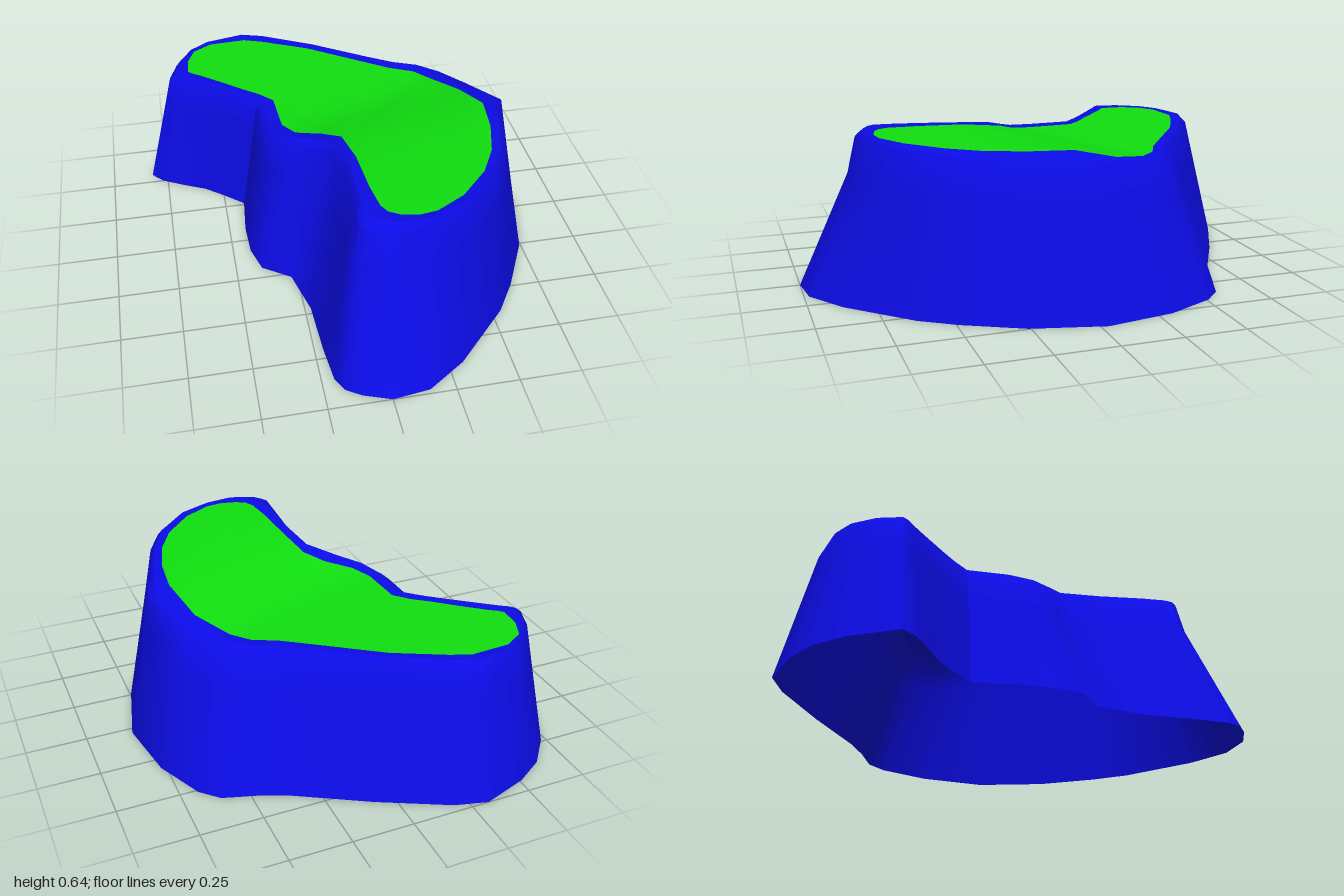
import * as THREE from 'three';
import { mergeVertices, toCreasedNormals } from 'three/addons/utils/BufferGeometryUtils.js';

// Outlines as x, z pairs, matched point for point.
// They start at the back-left tip and run round the back, right, front and hollow.
const foot = [
  -.82, -.555, -.73, -.74, -.63, -.86, -.51, -.935, -.32, -1, -.19, -.965, .08, -.83, .36, -.67, .48, -.62,
  .61, -.58, .68, -.51, .77, -.31, .815, -.03, .745, .26, .63, .49, .54, .63, .31, .87, .15, .98,
  0, 1, -.11, .96, -.17, .92, -.2, .86, -.215, .7, -.225, .47, -.275, .27, -.39, .19, -.425, .07,
  -.43, -.08, -.415, -.26, -.5, -.335, -.58, -.4, -.68, -.45, -.77, -.5, -.8, -.53];
const shoulder = [
  -.685, -.56, -.65, -.66, -.58, -.76, -.5, -.82, -.33, -.87, -.23, -.84, 0, -.71, .24, -.55, .34, -.49,
  .44, -.45, .52, -.39, .62, -.24, .69, -.01, .63, .22, .57, .4, .5, .53, .35, .68, .2, .74,
  .06, .76, 0, .74, -.05, .715, -.075, .69, -.07, .6, -.06, .4, -.08, .2, -.2, .1, -.28, .03,
  -.325, -.1, -.33, -.27, -.39, -.325, -.46, -.385, -.56, -.46, -.64, -.52, -.67, -.54];
const lawnEdge = [
  -.6, -.57, -.595, -.66, -.56, -.74, -.48, -.79, -.32, -.8, -.24, -.77, -.04, -.67, .2, -.5, .3, -.43,
  .4, -.38, .46, -.31, .55, -.16, .595, .03, .575, .2, .53, .36, .46, .49, .34, .62, .22, .69,
  .15, .7, .08, .685, .04, .66, .02, .62, .005, .5, -.005, .3, -.03, .13, -.1, .06, -.2, 0,
  -.245, -.08, -.255, -.27, -.31, -.33, -.38, -.385, -.46, -.455, -.55, -.53, -.58, -.55];

// Low terrace at the back, stepping up to the front
const height = (x, z) => 0.547 + 0.078 * THREE.MathUtils.smoothstep(z + 0.3 * x, -0.15, 0.25)
  + 0.012 * THREE.MathUtils.smoothstep(z, 0.2, 0.7);

const onTop = (x, z, lift = 0) => new THREE.Vector3(x, height(x, z) + lift, z);

function ring(pairs, place) {
  const points = [];
  for (let i = 0; i < pairs.length; i += 2) points.push(place(pairs[i], pairs[i + 1]));
  return points;
}

// Skin rows of points that run from the outside inward
function skin(rows, closed) {
  const n = rows[0].length, index = [];
  for (let r = 0; r < rows.length - 1; r++) {
    for (let i = 0; i < (closed ? n : n - 1); i++) {
      const j = (i + 1) % n;
      const a = r * n + i, b = r * n + j, c = b + n, d = a + n;
      index.push(a, d, c, a, c, b);
    }
  }
  const geometry = new THREE.BufferGeometry().setFromPoints(rows.flat());
  geometry.setIndex(index);
  const merged = mergeVertices(geometry, 1e-4);
  merged.computeVertexNormals();
  return merged;
}

export function createModel() {
  const blue = new THREE.MeshStandardMaterial({ color: 0x0c0ce7, side: THREE.DoubleSide });
  blue.name = 'blue wall';
  const green = new THREE.MeshStandardMaterial({ color: 0x10e010, side: THREE.DoubleSide });
  green.name = 'green lawn';

  // Sloping wall, open underneath, with a softly rounded rim
  const base = ring(foot, (x, z) => new THREE.Vector3(x, 0, z));
  const outer = ring(shoulder, (x, z) => onTop(x, z, -0.02));
  const inner = ring(lawnEdge, (x, z) => onTop(x, z));
  const belly = base.map((p, i) => {
    const q = p.clone().lerp(outer[i], 0.76);
    q.z -= 0.025 * THREE.MathUtils.smoothstep(q.z, 0.5, 0.8);
    return q;
  });
  const crest = outer.map((p, i) => {
    const q = p.clone().lerp(inner[i], 0.35);
    return onTop(q.x, q.z, 0.004);
  });
  const wall = new THREE.Mesh(toCreasedNormals(skin([base, belly, outer, crest, inner], true), 0.7), blue);
  wall.name = 'wallAndRim';

  // Lawn: strips from the outer side of its edge across to the hollow side
  const n = inner.length, half = n / 2, steps = 10, rows = [];
  for (let s = 0; s <= steps; s++) {
    const row = [];
    for (let i = 0; i <= half; i++) {
      const q = inner[i].clone().lerp(inner[(n - i) % n], s / steps);
      row.push(onTop(q.x, q.z));
    }
    rows.push(row);
  }
  const lawn = new THREE.Mesh(skin(rows, false), green);
  lawn.name = 'lawn';

  const model = new THREE.Group();
  model.name = 'raisedMound';
  model.add(wall, lawn);
  return model;
}
